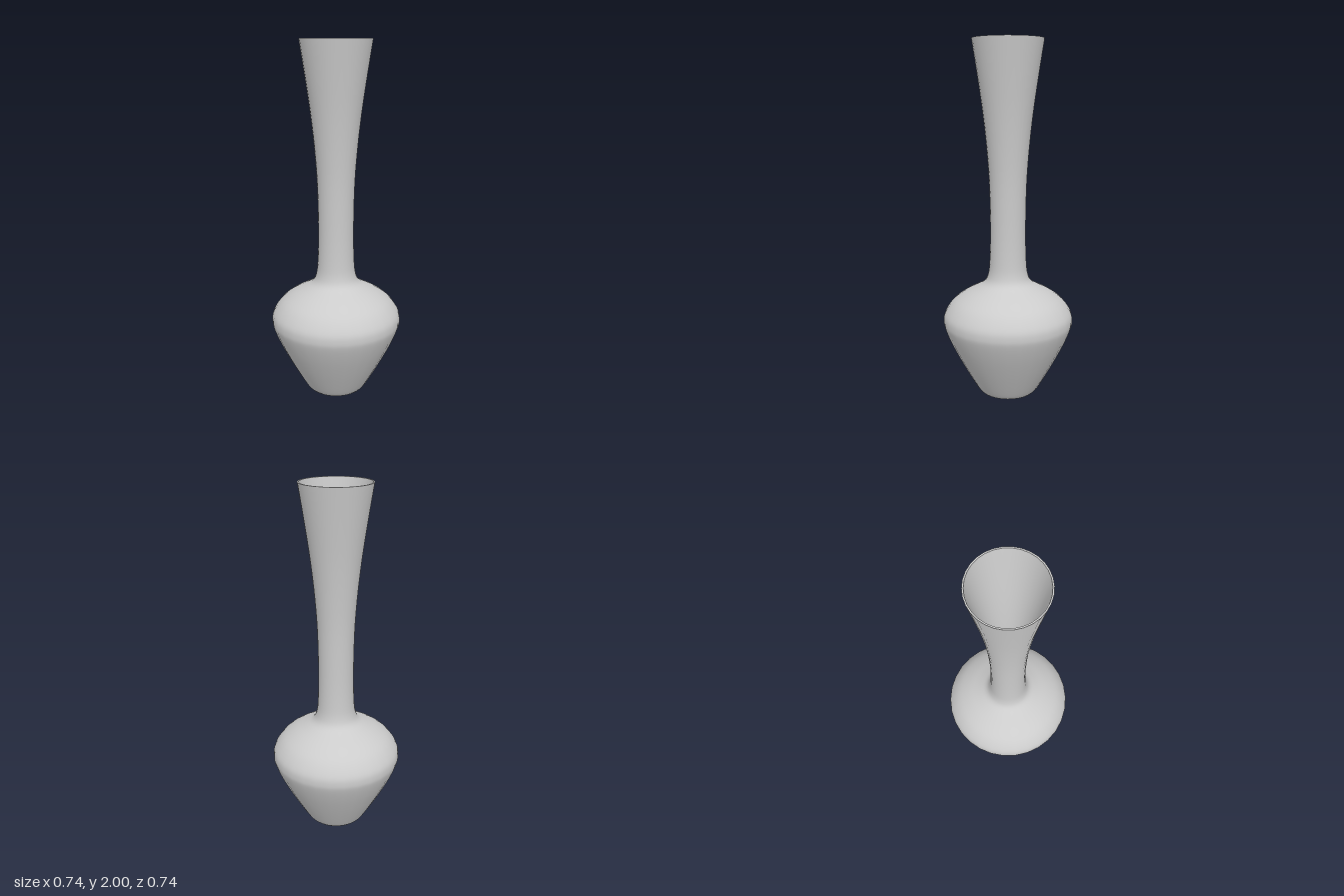
import * as THREE from 'three';

const SIDES = 30;
const WALL = 0.008;

// Outer silhouette, foot to lip, as radius and height
const PROFILE = [
  [0.16, 0.005], [0.178, 0.025], [0.225, 0.105], [0.277, 0.2], [0.327, 0.3], [0.362, 0.385],
  [0.37, 0.43], [0.36, 0.478], [0.315, 0.54], [0.25, 0.588], [0.18, 0.625], [0.134, 0.655],
  [0.113, 0.7], [0.104, 0.78], [0.1, 0.95], [0.104, 1.2], [0.117, 1.4], [0.138, 1.6],
  [0.166, 1.8], [0.197, 2],
];

export function createModel() {
  const vase = new THREE.Group();
  vase.name = 'vase';
  const material = new THREE.MeshStandardMaterial({ color: 0xcccccc });

  const turn = (name, points) => {
    const geometry = new THREE.LatheGeometry(points, SIDES, THREE.MathUtils.degToRad(4.3));
    const mesh = new THREE.Mesh(geometry, material);
    mesh.name = name;
    vase.add(mesh);
  };
  const v = (r, y) => new THREE.Vector2(r, y);

  const curve = new THREE.SplineCurve(PROFILE.map(([r, y]) => v(r, y)));
  const outer = curve.getPoints(76);

  // Inner wall: the silhouette moved inwards along its normal
  const inner = outer.map((p, i) => {
    const t = curve.getTangent(i / 76);
    return v(p.x - t.y * WALL, p.y + t.x * WALL);
  });
  inner[76].y = 2;
  inner.reverse();
  const floor = inner[76];

  turn('outerWall', outer);
  turn('innerWall', inner);
  turn('rim', [outer[76], inner[0]]);
  turn('innerFloor', [floor, v(0, floor.y)]);

  // Flat foot with a small rounded edge
  turn('foot', [v(0, 0), v(0.15, 0)]);
  turn('footEdge', [v(0.15, 0), v(0.156, 0.001), outer[0]]);

  return vase;
}
